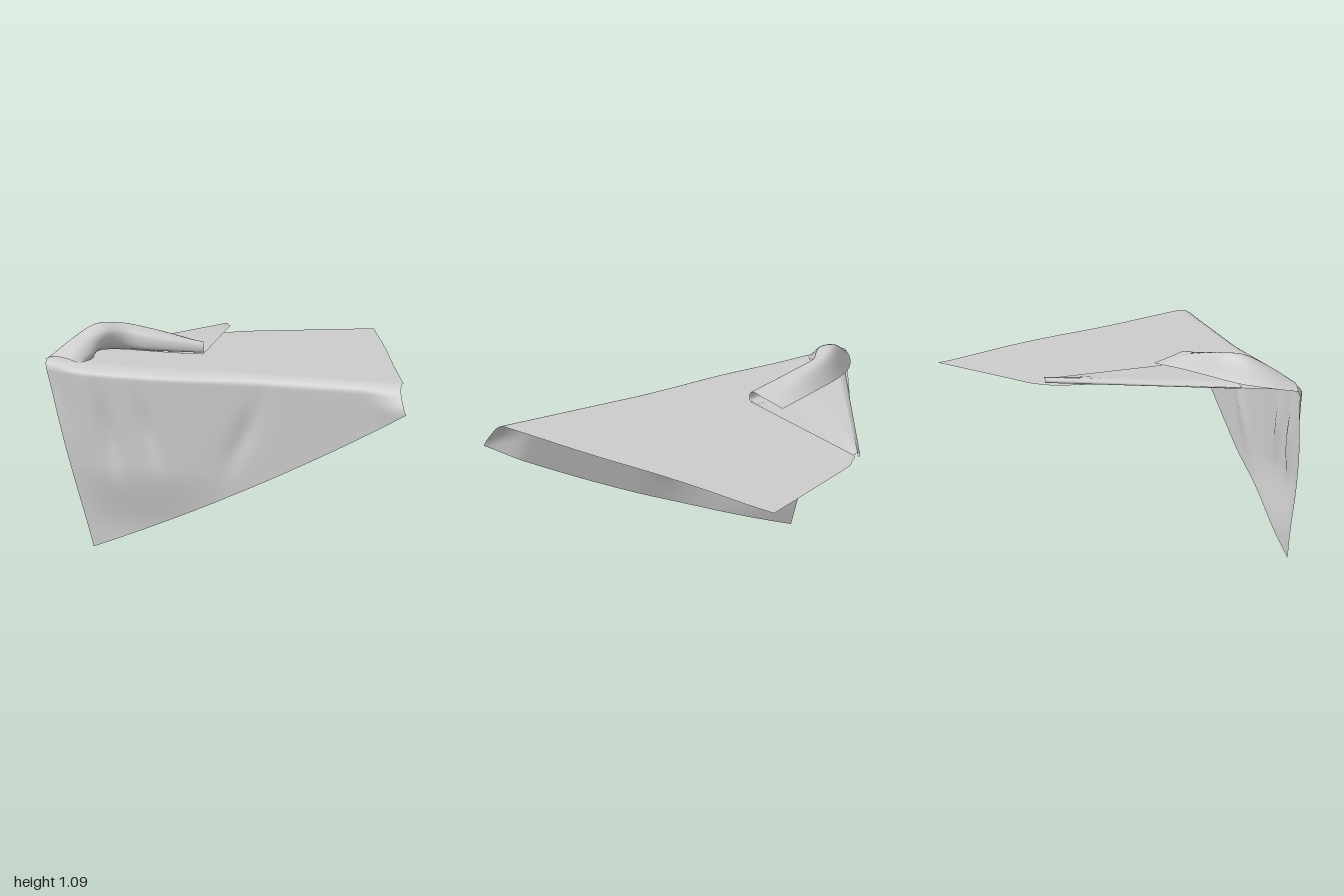
import * as THREE from 'three';

const V = (x, y, z) => new THREE.Vector3(x, y, z);
const lerp = THREE.MathUtils.lerp;
const smooth = (x, a, b) => THREE.MathUtils.smoothstep(x, a, b);
const bump = (x, c, w) => Math.exp(-(((x - c) / w) ** 2));
const material = new THREE.MeshStandardMaterial({ color: 0xcccccc, side: THREE.DoubleSide });

// Smooth grid surface from a rule f(u, v) -> Vector3
function sheet(name, nu, nv, f) {
  const pos = [], idx = [];
  for (let j = 0; j <= nv; j++)
    for (let i = 0; i <= nu; i++) pos.push(...f(i / nu, j / nv).toArray());
  for (let j = 0; j < nv; j++)
    for (let i = 0; i < nu; i++) {
      const a = j * (nu + 1) + i, b = a + 1, c = a + nu + 1, d = c + 1;
      idx.push(a, c, b, b, c, d);
    }
  const g = new THREE.BufferGeometry();
  g.setAttribute('position', new THREE.Float32BufferAttribute(pos, 3));
  g.setIndex(idx);
  g.computeVertexNormals();
  const mesh = new THREE.Mesh(g, material);
  mesh.name = name;
  return mesh;
}

// Depth of the hanging face: a soft bulge on the left with slanted creases
function faceZ(x, y, u) {
  const bulge = smooth(-x, -0.2, 0.4) * smooth(y, 0.08, 0.42) * smooth(u, -0.06, 0.12);
  const crease = bump(x + 0.25 * y, -0.47, 0.05) * bump(y, 0.58, 0.18)
    + 0.7 * bump(x + 0.3 * y, -0.22, 0.05) * bump(y, 0.62, 0.15)
    + 0.6 * bump(x - 0.4 * y, -0.15, 0.06) * bump(y, 0.6, 0.16);
  const flare = 0.05 * smooth(u, 0.88, 1) * smooth(-y, -0.92, -0.78);
  return 0.748 + 0.048 * bulge - 0.025 * crease + flare - 0.025 * smooth(-u, -0.08, 0) * smooth(y, 0.5, 0.9);
}

// Whole sheet: v 0..0.45 lies flat, 0.45..0.55 rolls over the edge, the rest hangs
function cloth(u, v) {
  const topY = 0.92 + 0.01 * smooth(-u, -0.2, 0);
  const frontX = lerp(-0.985, 0.93, u), frontZ = 0.68;
  if (v <= 0.45) {
    const t = v / 0.45;
    const backX = lerp(-0.47, 0.18, u), backZ = lerp(-0.46, -0.81, u) + 0.04 * bump(u, 0, 0.06);
    const x = lerp(backX, frontX, t), z = lerp(backZ, frontZ, t);
    const ripple = 0.004 * Math.sin(5 * x + 3 * z) * Math.sin(Math.PI * t);
    return V(x, lerp(0.912, topY, smooth(t, 0, 0.3)) + ripple, z);
  }
  const endX = lerp(-0.71, 0.99, u);
  const endY = 0.78 * u - 0.15 * u * (1 - u);
  const shoulderY = topY - 0.055;
  const edge = (topY - shoulderY) / (topY - endY);
  if (v <= 0.55) {
    const a = (v - 0.45) / 0.1 * Math.PI / 2;
    const y = shoulderY + (topY - shoulderY) * Math.cos(a);
    const x = lerp(frontX, endX, edge * (1 - Math.cos(a)));
    return V(x, y, lerp(frontZ, faceZ(x, y, u), Math.sin(a)));
  }
  const t = (v - 0.55) / 0.45;
  const y = lerp(shoulderY, endY, t);
  const x = lerp(frontX, endX, lerp(edge, 1, t));
  return V(x, y, faceZ(x, y, u));
}

// Triangle folded back over the sheet along its left side
function flap(u, v) {
  const left = V(-0.475, 0, -0.45).lerp(V(-0.86, 0, 0.46), v);
  const p = left.lerp(V(-0.45, 0, -0.45).lerp(V(-0.28, 0, 0.35), v), u * u);
  p.x -= 0.012 * Math.sin(Math.PI * Math.min(1, u * 5));
  p.y = 0.922 + 0.028 * smooth(u, 0, 0.25) - 0.012 * smooth(u, 0.5, 1) + 0.006 * (1 - v);
  return p;
}

// Curled fold: cross-sections run outer edge, crest, upper lip, lower lip, tuck
const stations = [
  [V(-1, 0.92, 0.72), V(-0.94, 0.945, 0.725), V(-0.86, 0.94, 0.735), V(-0.81, 0.925, 0.73), V(-0.77, 0.915, 0.7)],
  [V(-0.965, 0.935, 0.6), V(-0.885, 1.02, 0.59), V(-0.81, 1.01, 0.63), V(-0.77, 0.95, 0.64), V(-0.78, 0.925, 0.59)],
  [V(-0.89, 0.95, 0.46), V(-0.81, 1.08, 0.48), V(-0.745, 1.05, 0.53), V(-0.745, 0.985, 0.53), V(-0.79, 0.945, 0.48)],
  [V(-0.77, 0.97, 0.34), V(-0.72, 1.08, 0.39), V(-0.675, 1.045, 0.445), V(-0.68, 0.975, 0.44), V(-0.72, 0.945, 0.4)],
  [V(-0.6, 0.975, 0.25), V(-0.57, 1.05, 0.33), V(-0.55, 1.03, 0.41), V(-0.55, 0.96, 0.415), V(-0.59, 0.942, 0.36)],
  [V(-0.36, 0.965, 0.155), V(-0.315, 0.985, 0.265), V(-0.28, 0.995, 0.345), V(-0.275, 0.95, 0.35), V(-0.3, 0.942, 0.3)],
];
const rails = [0, 1, 2, 3, 4].map(k => new THREE.CatmullRomCurve3(stations.map(s => s[k])));
function curl(u, v) {
  return new THREE.CatmullRomCurve3(rails.map(r => r.getPoint(v))).getPoint(u);
}

export function createModel() {
  const group = new THREE.Group();
  group.name = 'drapedCloth';
  group.add(
    sheet('clothSheet', 90, 100, cloth),
    sheet('foldedFlap', 30, 30, flap),
    sheet('curledFold', 28, 50, curl),
  );
  return group;
}
